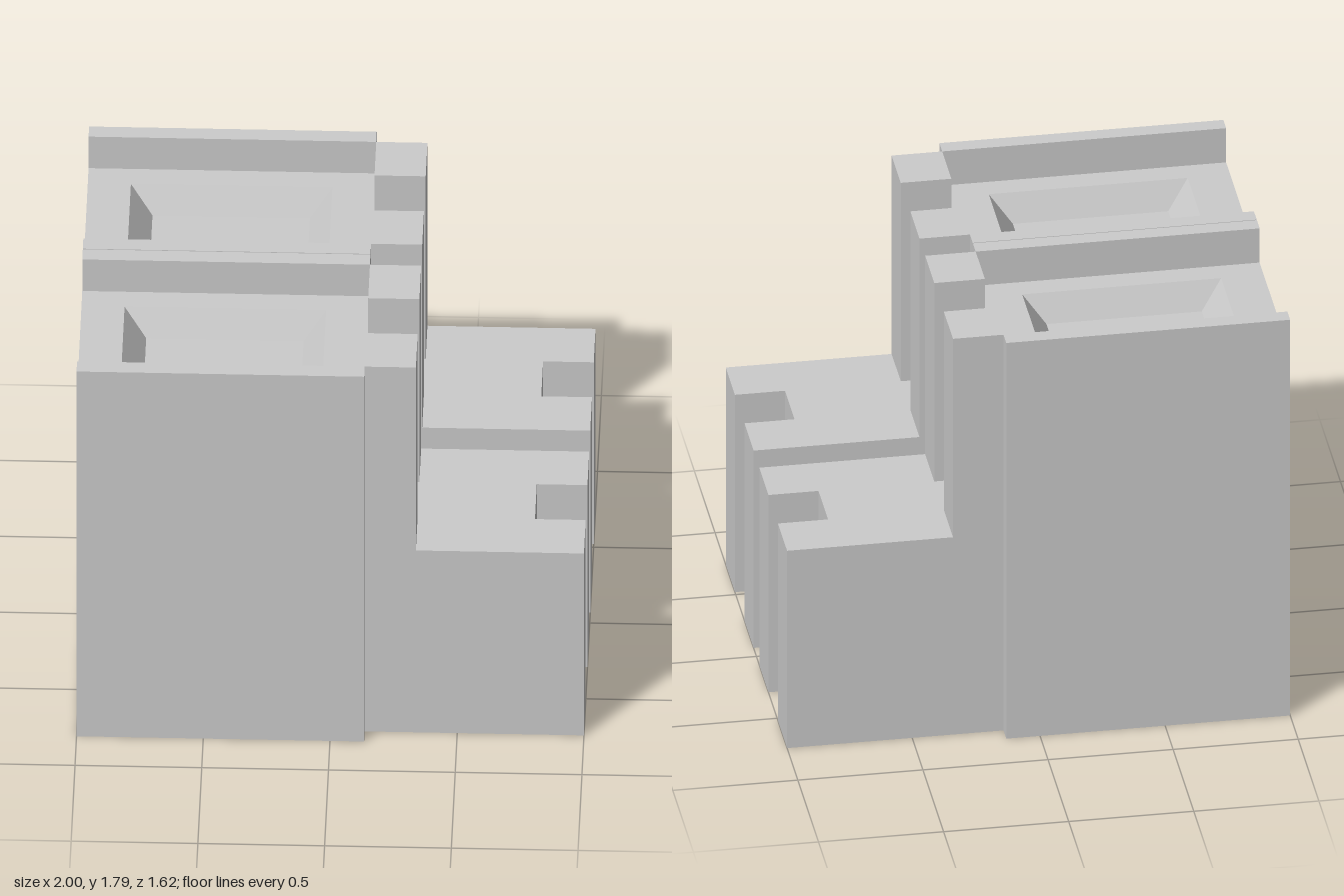
import * as THREE from 'three';

const material = new THREE.MeshStandardMaterial({ color: 0xcccccc, flatShading: true });

const X0 = -1, X1 = 0.135, X2 = 0.337, X3 = 1;   // body back, body front, post front, step front
const FLOOR = 1.64, TOP = 1.795, STEP = 0.895;
const HALF = 0.403, INNER = 0.336, SLOT = 0.115; // half widths of body, step and slot

function mesh(name, geometry) {
  const m = new THREE.Mesh(geometry, material);
  m.name = name;
  return m;
}

function box(name, x0, x1, y0, y1, z0, z1) {
  const g = new THREE.BoxGeometry(x1 - x0, y1 - y0, z1 - z0);
  g.translate((x0 + x1) / 2, (y0 + y1) / 2, (z0 + z1) / 2);
  return mesh(name, g);
}

// Skin a chain of rectangles [x0, x1, halfZ, y] and close both ends
function loftRectangles(rects) {
  const pos = [], index = [];
  for (const [x0, x1, z, y] of rects) pos.push(x0, y, z, x1, y, z, x1, y, -z, x0, y, -z);
  for (let r = 0; r < rects.length - 1; r++) {
    for (let i = 0; i < 4; i++) {
      const a = r * 4 + i, b = r * 4 + (i + 1) % 4;
      index.push(a, b, b + 4, a, b + 4, a + 4);
    }
  }
  const e = (rects.length - 1) * 4;
  index.push(0, 2, 1, 0, 3, 2, e, e + 1, e + 2, e, e + 2, e + 3);
  const g = new THREE.BufferGeometry();
  g.setAttribute('position', new THREE.Float32BufferAttribute(pos, 3));
  g.setIndex(index);
  const flat = g.toNonIndexed();
  flat.computeVertexNormals();
  return flat;
}

function createUnit() {
  const unit = new THREE.Group();

  // Main block with a sloped basin sunk into its top
  unit.add(mesh('bodyWithBasin', loftRectangles([
    [X0, X1, HALF, 0],
    [X0, X1, HALF, FLOOR],
    [-0.83, -0.035, 0.238, FLOOR],
    [-0.743, -0.122, 0.18, FLOOR - 0.11],
  ])));

  // Low step with a notch in its front end
  const plan = new THREE.Shape([
    [X1, -INNER], [X3, -INNER], [X3, -SLOT], [0.8, -SLOT],
    [0.8, SLOT], [X3, SLOT], [X3, INNER], [X1, INNER],
  ].map(([x, z]) => new THREE.Vector2(x, z)));
  const step = new THREE.ExtrudeGeometry(plan, { depth: STEP, bevelEnabled: false });
  step.rotateX(-Math.PI / 2);
  unit.add(mesh('notchedStep', step));

  // Mirrored side rails and front posts
  for (const s of [-1, 1]) {
    const span = (a, b) => (s > 0 ? [a, b] : [-b, -a]);
    unit.add(box('sideRail', X0, X1, FLOOR, TOP, ...span(INNER, HALF)));
    unit.add(box('frontPost', X1, X2, STEP, TOP, ...span(SLOT, INNER)));
  }
  return unit;
}

export function createModel() {
  const model = new THREE.Group();
  model.name = 'twinBasinBlock';
  for (const s of [-1, 1]) {
    const unit = createUnit();
    unit.name = s > 0 ? 'frontUnit' : 'backUnit';
    unit.position.z = s * 0.405;
    model.add(unit);
  }
  return model;
}
